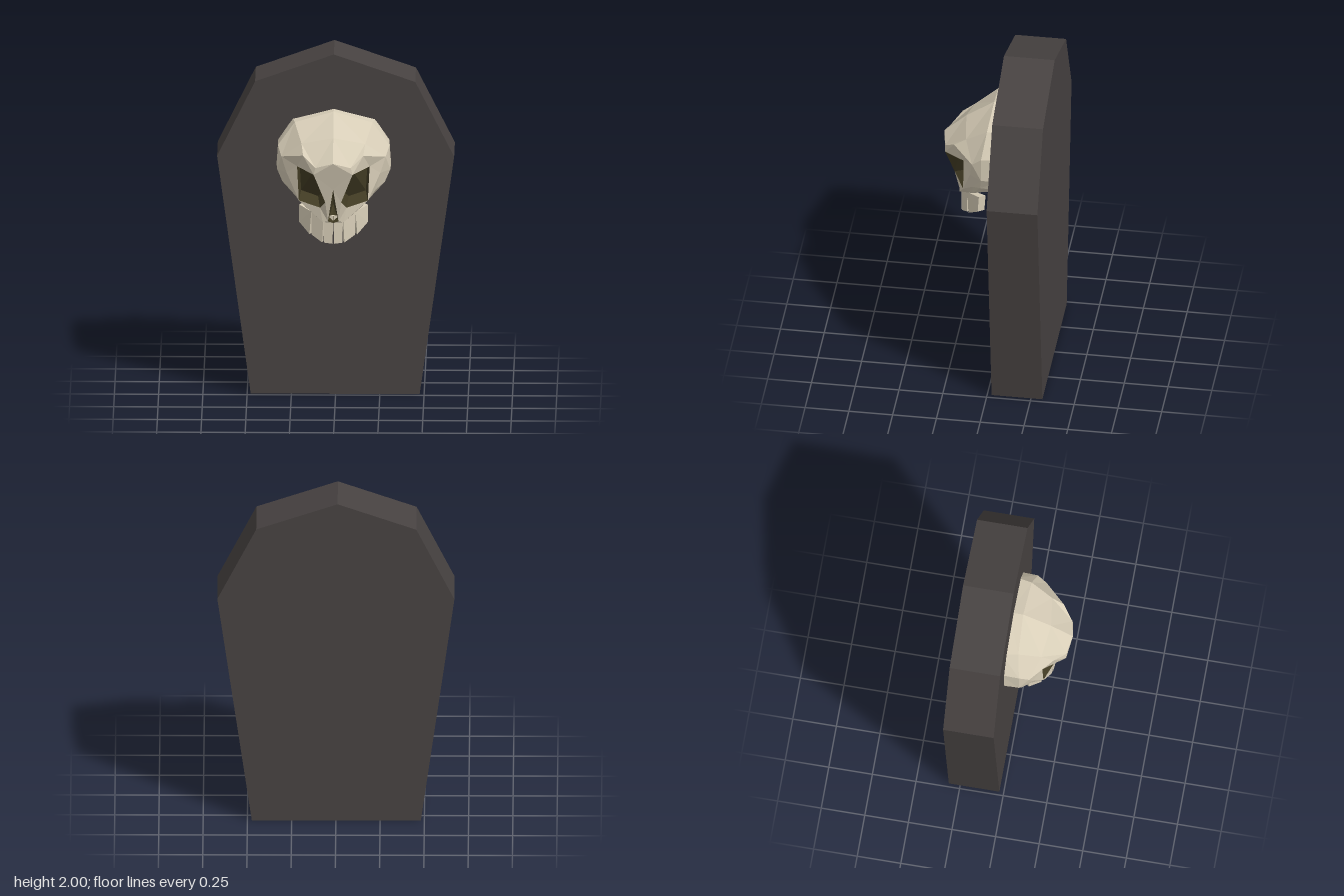
import * as THREE from 'three';
import { ConvexGeometry } from 'three/addons/geometries/ConvexGeometry.js';

const mat = (name, color) => {
  const m = new THREE.MeshStandardMaterial({ color, flatShading: true, side: THREE.DoubleSide });
  m.name = name;
  return m;
};

// Half-skull points, mirrored in x: back rim a, crown b, forehead c, brow d, eye rim s, nose n, upper jaw m, underside u
const P = {
  a0: [0, 1.68, -0.05], a1: [0.235, 1.62, -0.05], a2: [0.315, 1.5, -0.05],
  a3: [0.325, 1.36, -0.05], a4: [0.3, 1.28, -0.05], a5: [0.15, 1.17, -0.05],
  b0: [0, 1.68, 0.03], b1: [0.22, 1.62, 0.04], b2: [0.315, 1.49, 0.06],
  b3: [0.32, 1.35, 0.06], b4: [0.29, 1.28, 0.07], b5: [0.15, 1.155, 0.08],
  c0: [0, 1.57, 0.19], c1: [0.18, 1.53, 0.165], c2: [0.295, 1.44, 0.115],
  c3: [0.265, 1.35, 0.13], c4: [0.24, 1.25, 0.12],
  d0: [0, 1.455, 0.315], d1: [0.1, 1.425, 0.295], d2: [0.17, 1.48, 0.235],
  s1: [0.11, 1.385, 0.295], s2: [0.205, 1.4, 0.175], s3: [0.195, 1.2, 0.18],
  s4: [0.075, 1.17, 0.22], s5: [0.045, 1.21, 0.25],
  n0: [0, 1.29, 0.27], n1: [0.03, 1.09, 0.225], n2: [0, 1.08, 0.22],
  m1: [0.06, 1.085, 0.22], m2: [0.16, 1.15, 0.13],
  u0: [0, 1.17, -0.05], u1: [0, 1.15, 0.08],
};

const boneFaces = [
  'a0 a1 b1 b0', 'a1 a2 b2 b1', 'a2 a3 b3 b2', 'a3 a4 b4 b3', 'a4 a5 b5 b4',
  'b0 b1 c1 c0', 'b1 b2 c2 c1', 'b2 b3 c2', 'b3 c3 c2', 'b3 b4 c4 c3',
  'c0 c1 d1 d0', 'c1 d2 d1', 'c1 c2 d2', 'c2 c3 s2 d2', 'd2 s2 s1 d1',
  'c3 c4 s3 s2', 'c4 b4 m2', 'b4 b5 m2', 'c4 m2 s3', 's3 m2 m1 s4',
  's4 m1 n1 s5', 's5 n1 n0', 's1 s5 n0', 's1 n0 d0', 's1 d0 d1',
  'm1 n2 n1', 'b5 a5 u0 u1', 'm2 b5 u1 n2 m1',
].map((f) => f.split(' ').map((k) => P[k]));

// Fans polygons into triangles on both sides, facing away from (or toward) a centre
function mirroredFaces(polys, centre, outward = true) {
  const pos = [];
  const c = new THREE.Vector3(...centre);
  const tri = new THREE.Triangle(), n = new THREE.Vector3(), mid = new THREE.Vector3();
  for (const side of [1, -1]) {
    const flip = new THREE.Vector3(side, 1, 1);
    const cc = c.clone().multiply(flip);
    for (const poly of polys) {
      const v = poly.map((p) => new THREE.Vector3(...p).multiply(flip));
      for (let i = 1; i < v.length - 1; i++) {
        tri.set(v[0], v[i], v[i + 1]);
        tri.getNormal(n);
        tri.getMidpoint(mid).sub(cc);
        const order = (n.dot(mid) > 0) === outward ? [0, i, i + 1] : [0, i + 1, i];
        order.forEach((k) => pos.push(...v[k].toArray()));
      }
    }
  }
  const g = new THREE.BufferGeometry();
  g.setAttribute('position', new THREE.Float32BufferAttribute(pos, 3));
  g.computeVertexNormals();
  return g;
}

// Walls joining a rim to an inner ring, closed by a back face
function hollow(rim, inner) {
  const walls = rim.map((p, i) => {
    const j = (i + 1) % rim.length;
    return [p, rim[j], inner[j], inner[i]];
  });
  return [...walls, inner];
}

export function createModel() {
  const stone = mat('charcoal stone', 0x474241);
  const bone = mat('pale bone', 0xd8ceb8);
  const dark = mat('dark olive hollow', 0x413b23);
  const root = new THREE.Group();
  const add = (parent, name, geometry, material) => {
    const m = new THREE.Mesh(geometry, material);
    m.name = name;
    parent.add(m);
    return m;
  };

  // Seven-sided upright slab
  const outline = [[-0.48, 0], [0.475, 0], [0.67, 1.4], [0.45, 1.84], [-0.01, 2], [-0.455, 1.84], [-0.67, 1.4]];
  const shape = new THREE.Shape(outline.map(([x, y]) => new THREE.Vector2(x, y)));
  const slab = new THREE.ExtrudeGeometry(shape, { depth: 0.29, bevelEnabled: false });
  slab.translate(0, 0, -0.315);
  add(root, 'slab', slab, stone);

  const skull = new THREE.Group();
  skull.name = 'skull';
  skull.position.x = -0.01;
  root.add(skull);
  add(skull, 'cranium', mirroredFaces(boneFaces, [0, 1.36, 0.05]), bone);

  // Eye sockets taper back into the head
  const rim = [P.s1, P.s2, P.s3, P.s4, P.s5];
  const inner = rim.map(([x, y, z]) => [0.135 + (x - 0.135) * 0.8, 1.305 + (y - 1.29) * 0.75, z - 0.08]);
  add(skull, 'eyeSockets', mirroredFaces(hollow(rim, inner), [0.13, 1.3, 0.19], false), dark);

  // Nose opening, a narrow wedge
  const noseBack = [0, 1.18, 0.17];
  add(skull, 'noseHollow', mirroredFaces(
    [[P.n0, P.n1, noseBack], [P.n1, P.n2, noseBack]], [0, 1.16, 0.24], false), dark);

  // Upper teeth along the jaw arc: [x, z, top, bottom]
  const arc = [
    [0, 0.215, 1.12, 0.955], [0.055, 0.208, 1.12, 0.96], [0.125, 0.165, 1.13, 0.995], [0.195, 0.09, 1.15, 1.05],
  ];
  for (const side of [1, -1]) {
    for (let i = 0; i < arc.length - 1; i++) {
      const pts = [];
      [[arc[i], arc[i + 1]], [arc[i + 1], arc[i]]].forEach(([a, b]) => {
        const t = 0.09; // each tooth narrows toward its tip
        const low = [a[0] + (b[0] - a[0]) * t, a[1] + (b[1] - a[1]) * t];
        for (const [x, y, z] of [[a[0], a[2], a[1]], [low[0] * 1.03, a[3], low[1]]]) {
          pts.push(new THREE.Vector3(side * x, y, z));
          pts.push(new THREE.Vector3(side * x * 0.88, y, z - 0.035));
        }
      });
      add(skull, 'tooth', new ConvexGeometry(pts), bone);
    }
  }
  return root;
}
